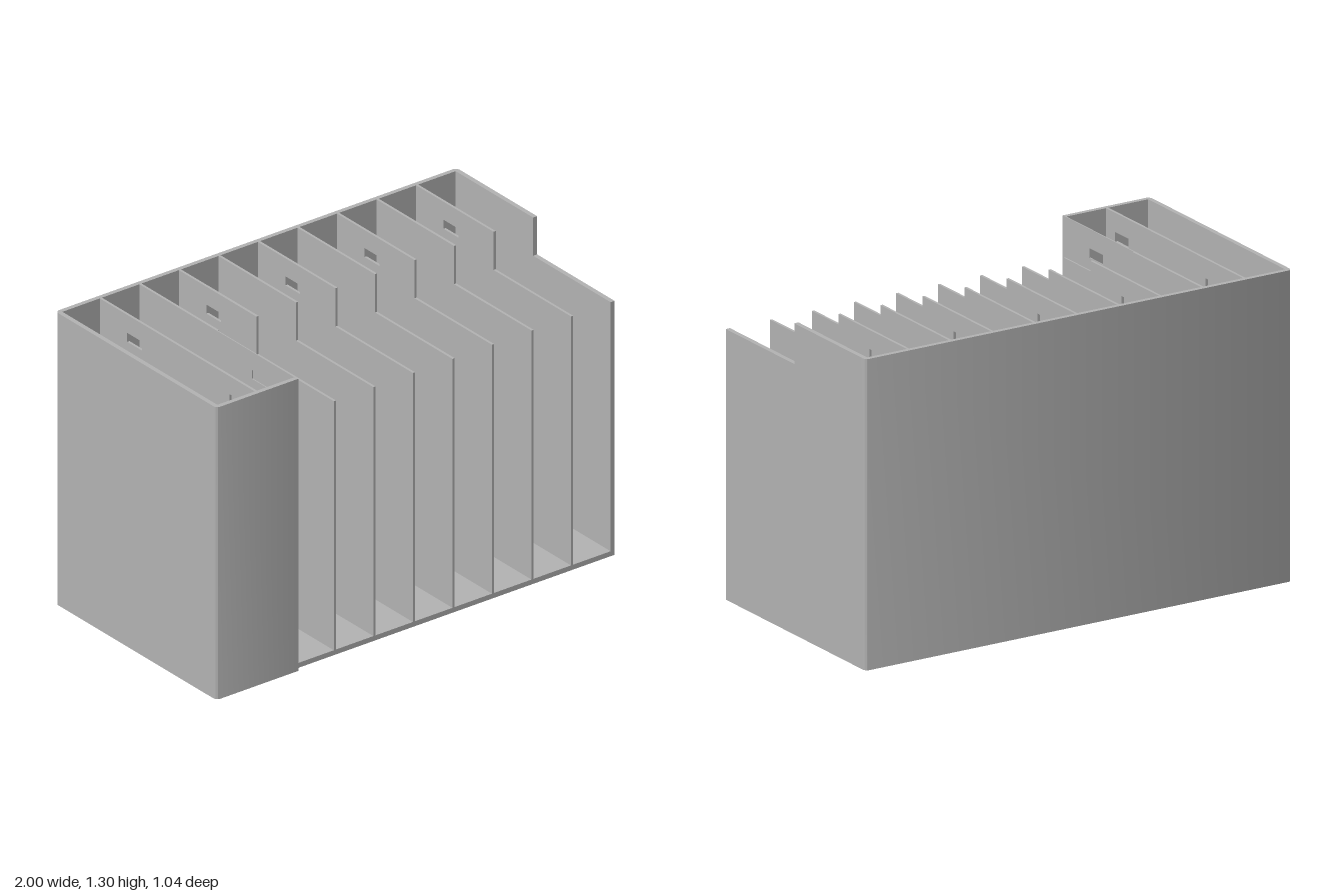
import * as THREE from 'three';
import { toCreasedNormals } from 'three/addons/utils/BufferGeometryUtils.js';

const W = 1, D = 0.52, H = 1.3;      // half width, half depth, height
const WALL = 0.02, THIN = 0.011;     // outer wall and divider thickness
const STEP = 1.13, PITCH = 0.197;    // lowered front height, divider spacing
const PANEL_END = -0.592;            // right-hand end of the closed front

export function createModel() {
  const group = new THREE.Group();
  const grey = new THREE.MeshStandardMaterial({ color: 0xb2b2b2 });
  grey.name = 'grey plastic';

  const add = (name, geometry) => {
    const mesh = new THREE.Mesh(geometry, grey);
    mesh.name = name;
    group.add(mesh);
  };
  const box = (name, x0, x1, y0, y1, z0, z1) => {
    const g = new THREE.BoxGeometry(x1 - x0, y1 - y0, z1 - z0);
    g.translate((x0 + x1) / 2, (y0 + y1) / 2, (z0 + z1) / 2);
    add(name, g);
  };
  // Upright plate: a (z, y) outline with small slots, extruded along x
  const plate = (name, points, slots, x0, x1) => {
    const shape = new THREE.Shape(points.map(([z, y]) => new THREE.Vector2(z, y)));
    for (const z of slots) {
      const a = z - 0.048, b = z + 0.048, lo = 1.18, hi = 1.22;
      shape.holes.push(new THREE.Path([[a, lo], [a, hi], [b, hi], [b, lo]]
        .map(([u, v]) => new THREE.Vector2(u, v))));
    }
    const g = new THREE.ExtrudeGeometry(shape, { depth: x1 - x0, bevelEnabled: false });
    g.rotateY(-Math.PI / 2).translate(x1, 0, 0);
    add(name, g);
  };

  // Outer shell in plan (shape y = -z), with rounded outer corners
  const r = WALL, s = new THREE.Shape();
  s.moveTo(PANEL_END, -D);
  s.lineTo(PANEL_END, -D + WALL);
  s.lineTo(-W + WALL, -D + WALL);
  s.lineTo(-W + WALL, D - WALL);
  s.lineTo(W - WALL, D - WALL);
  s.lineTo(W - WALL, 0);
  s.lineTo(W, 0);
  s.lineTo(W, D - r);
  s.absarc(W - r, D - r, r, 0, Math.PI / 2, false);
  s.lineTo(-W + r, D);
  s.absarc(-W + r, D - r, r, Math.PI / 2, Math.PI, false);
  s.lineTo(-W, -D + r);
  s.absarc(-W + r, -D + r, r, Math.PI, Math.PI * 1.5, false);
  s.closePath();
  const shell = new THREE.ExtrudeGeometry(s, { depth: H, bevelEnabled: false, curveSegments: 8 });
  shell.rotateX(-Math.PI / 2);
  add('outerShell', toCreasedNormals(shell, 0.6));

  // Lowered front half of the side wall, and the floor
  box('loweredSideWall', W - WALL, W, 0, STEP, 0, D - WALL);
  box('floor', -W + WALL, W - WALL, 0, 0.022, -D + WALL, D - WALL);

  // Dividers: the first is full height, the rest step down at the front
  const back = -D + WALL, front = D - WALL;
  const full = [[back, 0.022], [front, 0.022], [front, H], [back, H]];
  const stepped = [[back, 0.022], [front, 0.022], [front, STEP], [0, STEP], [0, H], [back, H]];
  for (let k = -4; k <= 4; k++) {
    const x = k * PITCH;
    const slots = k % 2 === 0 ? [-0.275] : [];
    if (k === -4) slots.push(0.385);
    plate('divider' + (k + 5), k === -4 ? full : stepped, slots, x - THIN / 2, x + THIN / 2);
  }

  // Slightly recessed plate filling the step beside the closed front
  plate('fillerPlate', [[0, STEP], [front, STEP], [front, H], [0, H]], [0.275],
    -3 * PITCH - THIN / 2, PANEL_END);

  return group;
}
